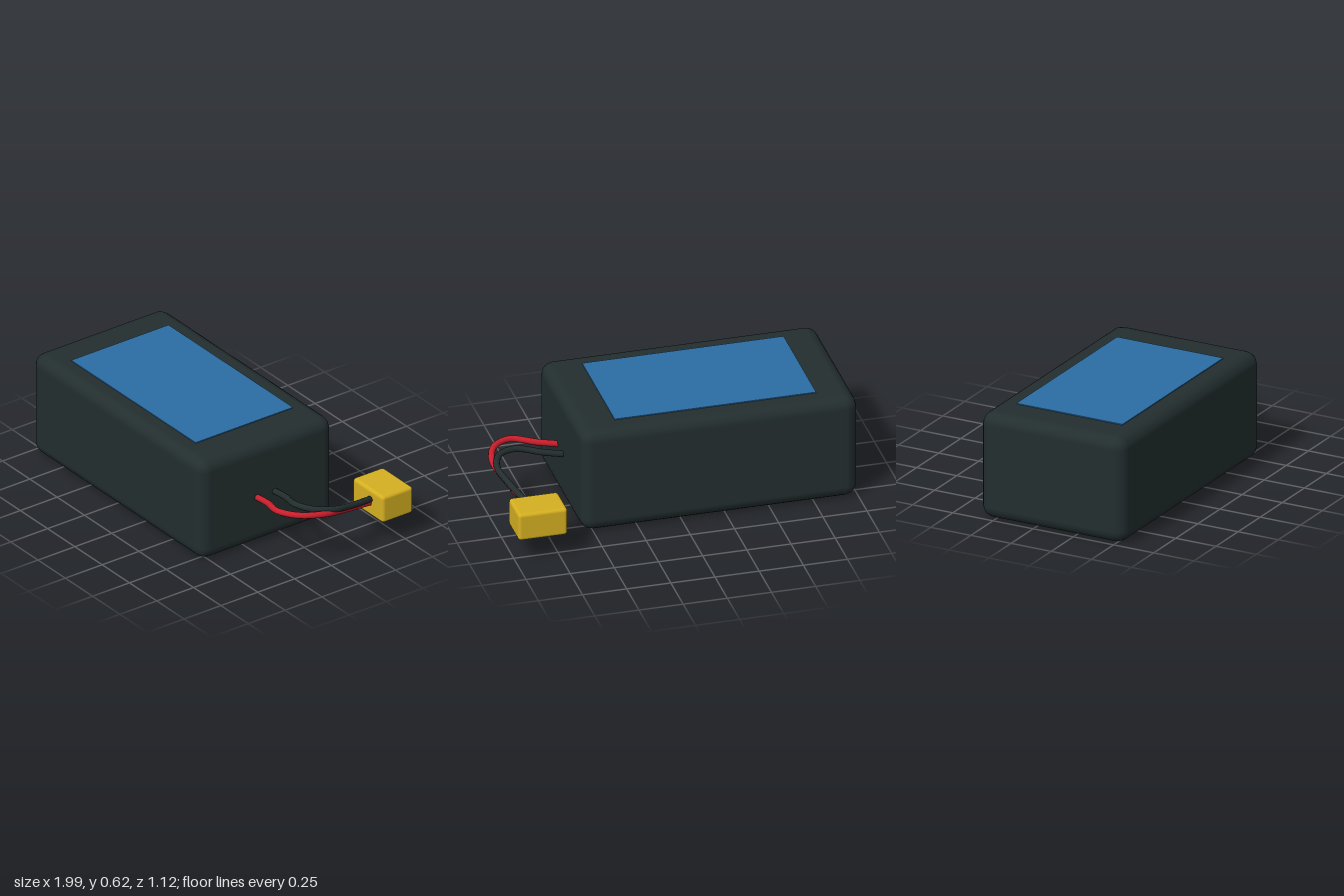
import * as THREE from 'three';
import { RoundedBoxGeometry } from 'three/addons/geometries/RoundedBoxGeometry.js';

const material = (name, color) => {
  const m = new THREE.MeshStandardMaterial({ color });
  m.name = name;
  return m;
};

export function createModel() {
  const group = new THREE.Group();
  group.name = 'batteryPack';
  const dark = material('charcoal', 0x232e2f);
  const blue = material('labelBlue', 0x2b6ca3);
  const red = material('wireRed', 0xcc1f2d);
  const yellow = material('connectorYellow', 0xd6b021);

  const add = (name, geometry, mat, x = 0, y = 0, z = 0) => {
    const mesh = new THREE.Mesh(geometry, mat);
    mesh.name = name;
    mesh.position.set(x, y, z);
    group.add(mesh);
  };

  // Wrapped pack with softened edges, and the label on its top
  add('body', new RoundedBoxGeometry(1.565, 0.617, 0.9, 2, 0.07), dark, -0.2175, 0.3085, 0.11);
  add('label', new THREE.BoxGeometry(1.14, 0.006, 0.66), blue, -0.22, 0.619, 0.11);

  // Plug on the end of the leads
  add('connector', new RoundedBoxGeometry(0.28, 0.165, 0.21, 2, 0.02), yellow, 0.85, 0.2175, -0.46);

  // Two leads curving from the pack's end back to the plug
  const wire = (name, mat, points) => {
    const curve = new THREE.CatmullRomCurve3(points.map((p) => new THREE.Vector3(...p)));
    add(name, new THREE.TubeGeometry(curve, 40, 0.018, 10), mat);
  };
  wire('redWire', red, [
    [0.54, 0.285, 0.178], [0.67, 0.308, 0.192], [0.82, 0.333, 0.227], [0.925, 0.334, 0.165],
    [0.972, 0.318, 0.03], [0.935, 0.274, -0.14], [0.865, 0.213, -0.37],
  ]);
  wire('blackWire', dark, [
    [0.54, 0.285, 0.06], [0.67, 0.308, 0.073], [0.82, 0.335, 0.107], [0.925, 0.337, 0.06],
    [0.967, 0.321, -0.05], [0.935, 0.285, -0.18], [0.872, 0.238, -0.37],
  ]);

  return group;
}
